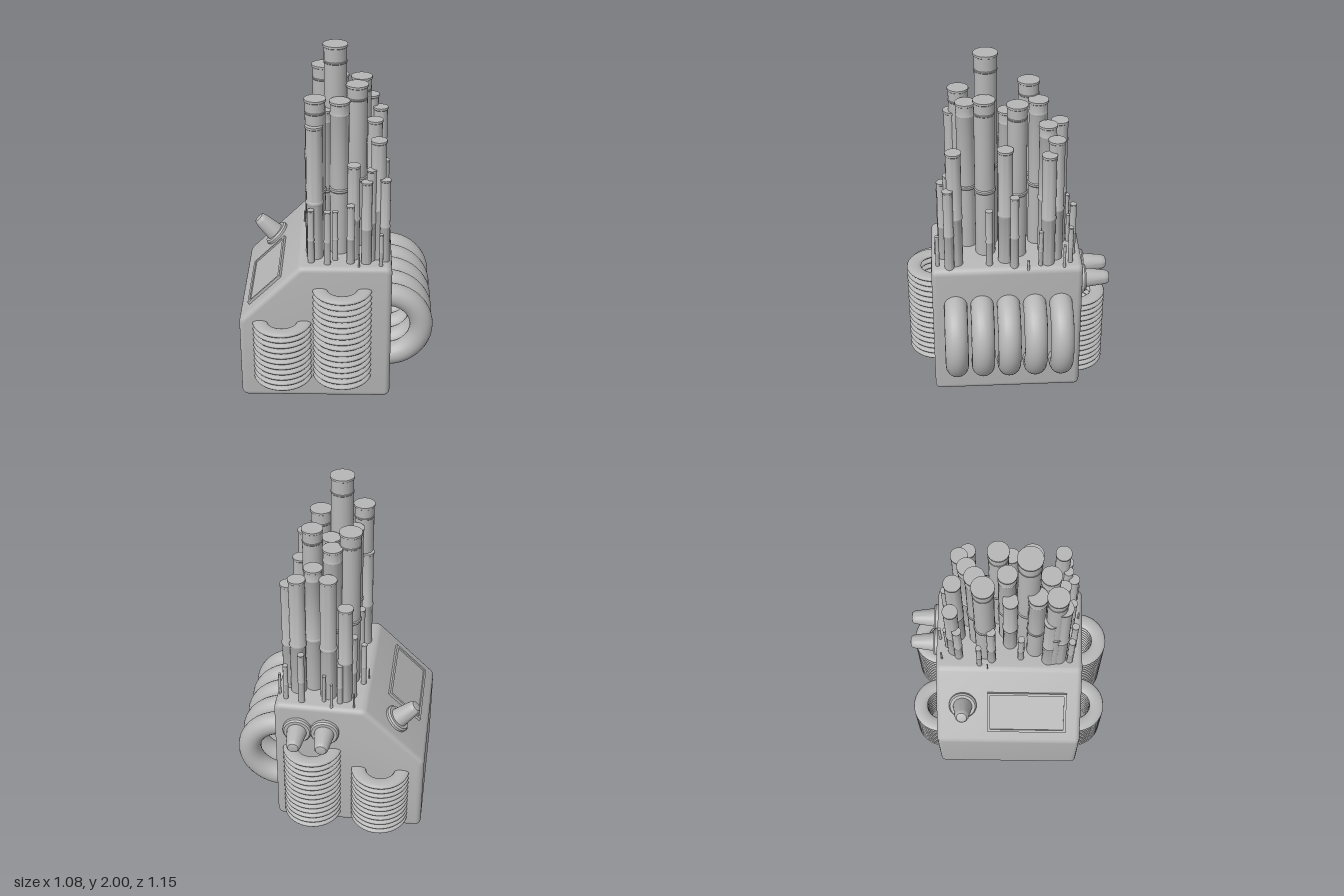
import * as THREE from 'three';
import { toCreasedNormals } from 'three/addons/utils/BufferGeometryUtils.js';

const grey = new THREE.MeshStandardMaterial({ color: 0xb6b6b6 });
grey.name = 'plain grey';

const TOP = 0.845;

function add(parent, name, geometry, x = 0, y = 0, z = 0) {
  const mesh = new THREE.Mesh(geometry, grey);
  mesh.name = name;
  mesh.position.set(x, y, z);
  parent.add(mesh);
  return mesh;
}

function group(parent, name) {
  const g = new THREE.Group();
  g.name = name;
  parent.add(g);
  return g;
}

function lathe(points, segments) {
  const geo = new THREE.LatheGeometry(points.map(([r, y]) => new THREE.Vector2(r, y)), segments);
  return toCreasedNormals(geo, 0.6);
}

// Housing: a box with one sloped shoulder and rounded edges
function housing() {
  const b = 0.03, k = 0.01;
  const pts = [[-0.54 + b, b], [0.3 - b, b], [0.3 - b, TOP - b], [-0.188, TOP - b], [-0.54 + b, 0.493]]
    .map(([x, y]) => new THREE.Vector2(x, y));
  const shape = new THREE.Shape();
  pts.forEach((p, i) => {
    const prev = pts[(i + pts.length - 1) % pts.length], next = pts[(i + 1) % pts.length];
    const a = p.clone().add(prev.clone().sub(p).setLength(k));
    const c = p.clone().add(next.clone().sub(p).setLength(k));
    if (i === 0) shape.moveTo(a.x, a.y); else shape.lineTo(a.x, a.y);
    shape.quadraticCurveTo(p.x, p.y, c.x, c.y);
  });
  shape.closePath();
  const geo = new THREE.ExtrudeGeometry(shape, {
    depth: 0.84 - 2 * b, bevelSize: b, bevelThickness: b, bevelSegments: 5, curveSegments: 6,
  });
  geo.translate(0, 0, -0.41 + b);
  return toCreasedNormals(geo, 0.5);
}

// Stack of flattened rings half sunk in a wall
function coilStack(parent, name, x, z, bottom, top, count) {
  const g = group(parent, name);
  const geo = new THREE.TorusGeometry(0.123, 0.041, 12, 40);
  geo.rotateX(Math.PI / 2).scale(1, 0.36, 1);
  for (let i = 0; i < count; i++) {
    const y = bottom + 0.015 + (top - bottom - 0.03) * i / (count - 1);
    add(g, 'coilRing', geo, x, y, z);
  }
}

// Tapered nozzle on a round flange, pointing along +y
function nozzle(parent, name) {
  const g = group(parent, name);
  add(g, 'nozzleFlange', lathe([[0, -0.02], [0.08, -0.02], [0.08, 0.018], [0.072, 0.028], [0, 0.028]], 32));
  add(g, 'nozzleCone', lathe([[0.056, 0.02], [0.052, 0.05], [0.041, 0.135], [0.037, 0.15],
    [0.029, 0.16], [0.018, 0.163], [0, 0.163]], 28));
  return g;
}

// Upright pipe with a collar part way up and a lipped cap
function pipe(parent, x, z, r, top) {
  const h = top - TOP, s = r * 0.92, lip = Math.min(0.012, r * 0.3);
  const collar = h * 0.43, upper = h * 0.92;
  const profile = [[s, -0.03], [s, collar - lip], [r, collar - lip * 0.5], [r, collar + lip * 0.5], [s, collar + lip]];
  if (r > 0.05) profile.push([s, upper - 0.006], [s * 1.04, upper - 0.003], [s * 1.04, upper + 0.003], [s, upper + 0.006]);
  profile.push([s, h - lip * 1.3], [r, h - lip], [r, h], [0, h]);
  add(parent, 'pipe', lathe(profile, r > 0.02 ? 28 : 14), x, TOP, z);
}

export function createModel() {
  const model = new THREE.Group();
  model.name = 'pipeMachine';
  add(model, 'housing', housing());

  // Five large loops on the left wall
  const loops = group(model, 'sideLoops');
  const loopGeo = new THREE.TorusGeometry(0.196, 0.065, 20, 48);
  for (let i = 0; i < 5; i++) add(loops, 'sideLoop', loopGeo, 0.277, 0.413, -0.289 + i * 0.1475);

  // Ring stacks on the front and back walls
  coilStack(model, 'frontRightCoils', -0.302, 0.41, 0.13, 0.51, 11);
  coilStack(model, 'frontLeftCoils', 0.03, 0.41, 0.14, 0.72, 16);
  coilStack(model, 'backLeftCoils', 0.09, -0.397, 0.06, 0.56, 14);
  coilStack(model, 'backRightCoils', -0.296, -0.397, 0.06, 0.44, 11);

  // Two nozzles on the back, one on the slope
  for (const x of [0.017, 0.17]) {
    const n = nozzle(model, 'backNozzle');
    n.position.set(x, 0.683, -0.41);
    n.rotation.x = -Math.PI / 2;
  }
  const slopeNozzle = nozzle(model, 'slopeNozzle');
  slopeNozzle.position.set(-0.362, 0.676, -0.256);
  slopeNozzle.rotation.z = Math.PI / 4;

  // Framed panel on the slope
  const panel = group(model, 'slopePanel');
  panel.position.set(-0.393, 0.645, 0.116);
  panel.rotation.z = Math.PI / 4;
  add(panel, 'panelPlate', new THREE.BoxGeometry(0.24, 0.03, 0.44), 0, -0.003, 0);
  for (const s of [-1, 1]) {
    add(panel, 'frameLongSide', new THREE.BoxGeometry(0.015, 0.04, 0.456), s * 0.12, 0, 0);
    add(panel, 'frameShortSide', new THREE.BoxGeometry(0.24, 0.04, 0.015), 0, 0, s * 0.2205);
  }

  // Pipes: x, z, radius, top height
  const large = [
    [-0.012, 0.11, 0.066, 2.0], [-0.115, 0.257, 0.058, 1.755], [-0.086, -0.124, 0.061, 1.805],
    [0.103, 0.124, 0.06, 1.785], [0.127, -0.05, 0.058, 1.765], [0.012, 0.222, 0.055, 1.73],
    [0.003, -0.17, 0.055, 1.73], [0.1, -0.216, 0.051, 1.63], [0.181, -0.258, 0.047, 1.58],
    [0.011, -0.288, 0.048, 1.61], [0.236, -0.215, 0.042, 1.52], [0.202, 0.017, 0.044, 1.54],
    [0.033, -0.003, 0.053, 1.69], [-0.12, 0.293, 0.048, 1.62], [0.219, 0.293, 0.044, 1.54],
    [-0.134, 0.233, 0.042, 1.465], [-0.083, -0.304, 0.042, 1.45], [-0.074, 0.157, 0.053, 1.66],
    [-0.038, 0.014, 0.044, 1.5], [0.089, 0.304, 0.036, 1.4],
  ];
  const small = [
    [0.159, 0.358, 0.03, 1.33], [0.258, 0.328, 0.029, 1.33], [0.183, 0.326, 0.027, 1.385],
    [0.074, 0.361, 0.023, 1.19], [0.261, -0.03, 0.026, 1.28], [0.242, 0.107, 0.021, 1.19],
    [0.151, -0.358, 0.02, 1.165], [0.24, -0.341, 0.015, 1.07], [-0.14, 0.356, 0.02, 1.16],
    [-0.051, 0.375, 0.02, 1.16], [-0.009, 0.33, 0.017, 1.14], [-0.127, 0.076, 0.02, 1.15],
    [-0.169, -0.16, 0.017, 1.115], [0.239, 0.393, 0.012, 1.035], [-0.14, -0.09, 0.026, 1.3],
    [-0.12, -0.278, 0.026, 1.25], [-0.059, -0.344, 0.017, 1.1], [0.029, -0.344, 0.011, 1.02],
    [-0.018, -0.388, 0.009, 1.0], [0.28, -0.305, 0.008, 0.98], [0.261, -0.175, 0.014, 1.06],
    [0.287, -0.106, 0.008, 0.89], [-0.195, -0.113, 0.004, 0.91], [-0.139, -0.376, 0.006, 0.94],
    [0.119, 0.406, 0.006, 0.92],
  ];
  const pipes = group(model, 'pipes');
  for (const p of [...large, ...small]) pipe(pipes, ...p);

  return model;
}
